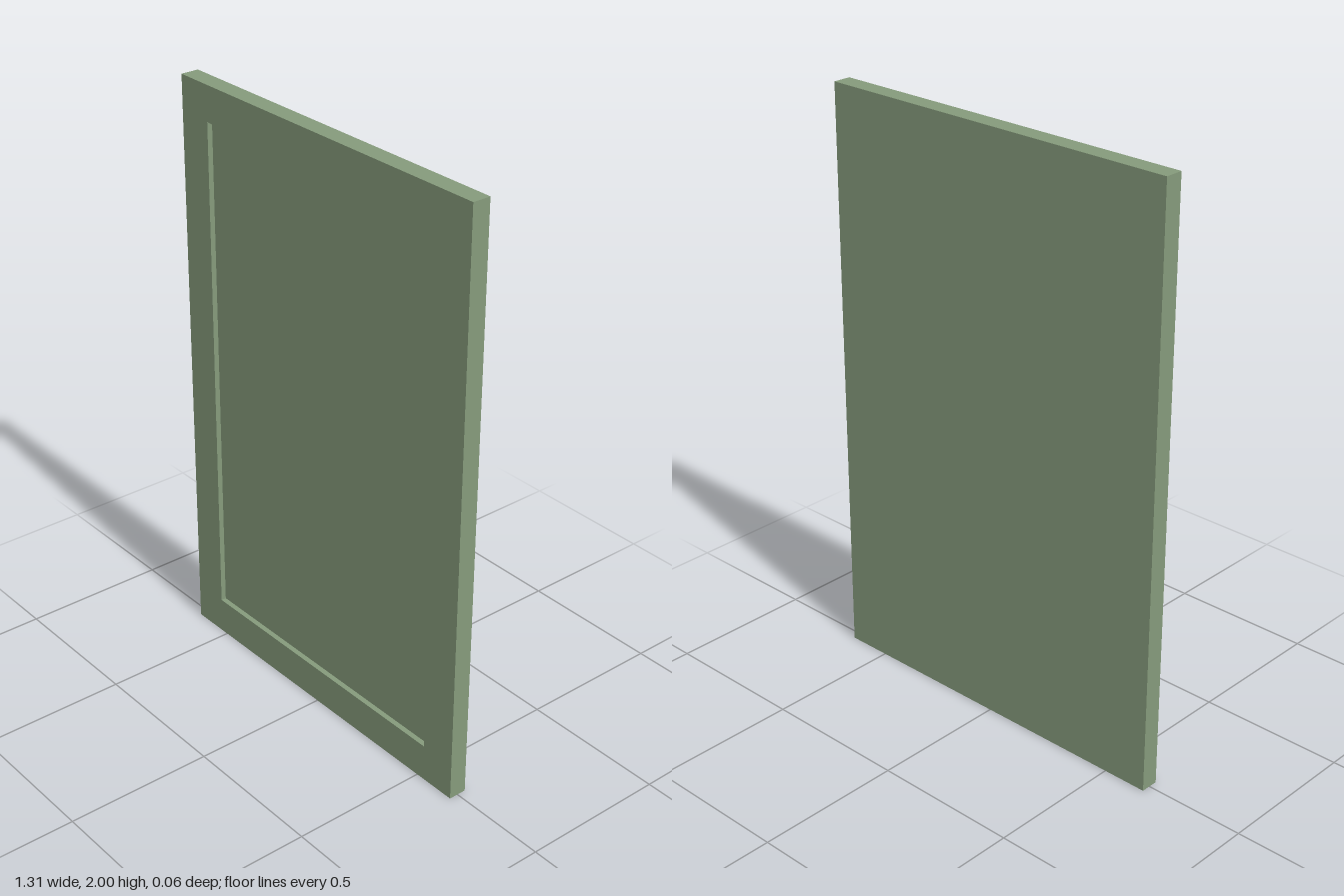
import * as THREE from 'three';

const BACK = -0.031, FRONT = 0.031, RECESS = 0.013;

// Rectangle corners, counter-clockwise as seen from the front
const rect = (x, y0, y1, z) => [[-x, y0, z], [x, y0, z], [x, y1, z], [-x, y1, z]];

// Flat-shaded shell: joins successive four-corner loops and caps both ends
function shell(loops) {
  const pos = [];
  const quad = (a, b, c, d) => pos.push(...a, ...b, ...c, ...a, ...c, ...d);
  for (let k = 0; k < loops.length - 1; k++) {
    const a = loops[k], b = loops[k + 1];
    for (let i = 0; i < 4; i++) {
      const j = (i + 1) % 4;
      quad(a[i], a[j], b[j], b[i]);
    }
  }
  quad(...[...loops[0]].reverse());
  quad(...loops[loops.length - 1]);
  const geo = new THREE.BufferGeometry();
  geo.setAttribute('position', new THREE.Float32BufferAttribute(pos, 3));
  geo.computeVertexNormals();
  return geo;
}

export function createModel() {
  const group = new THREE.Group();
  group.name = 'cabinetDoor';
  const paint = new THREE.MeshStandardMaterial({ color: 0x869b7c });

  // Door slab with a shallow rectangular recess in the front
  const door = new THREE.Mesh(shell([
    rect(0.654, 0, 2, BACK),
    rect(0.654, 0, 2, FRONT),
    rect(0.527, 0.127, 1.88, FRONT),
    rect(0.527, 0.127, 1.88, RECESS),
  ]), paint);
  door.name = 'recessedDoorPanel';
  group.add(door);
  return group;
}
